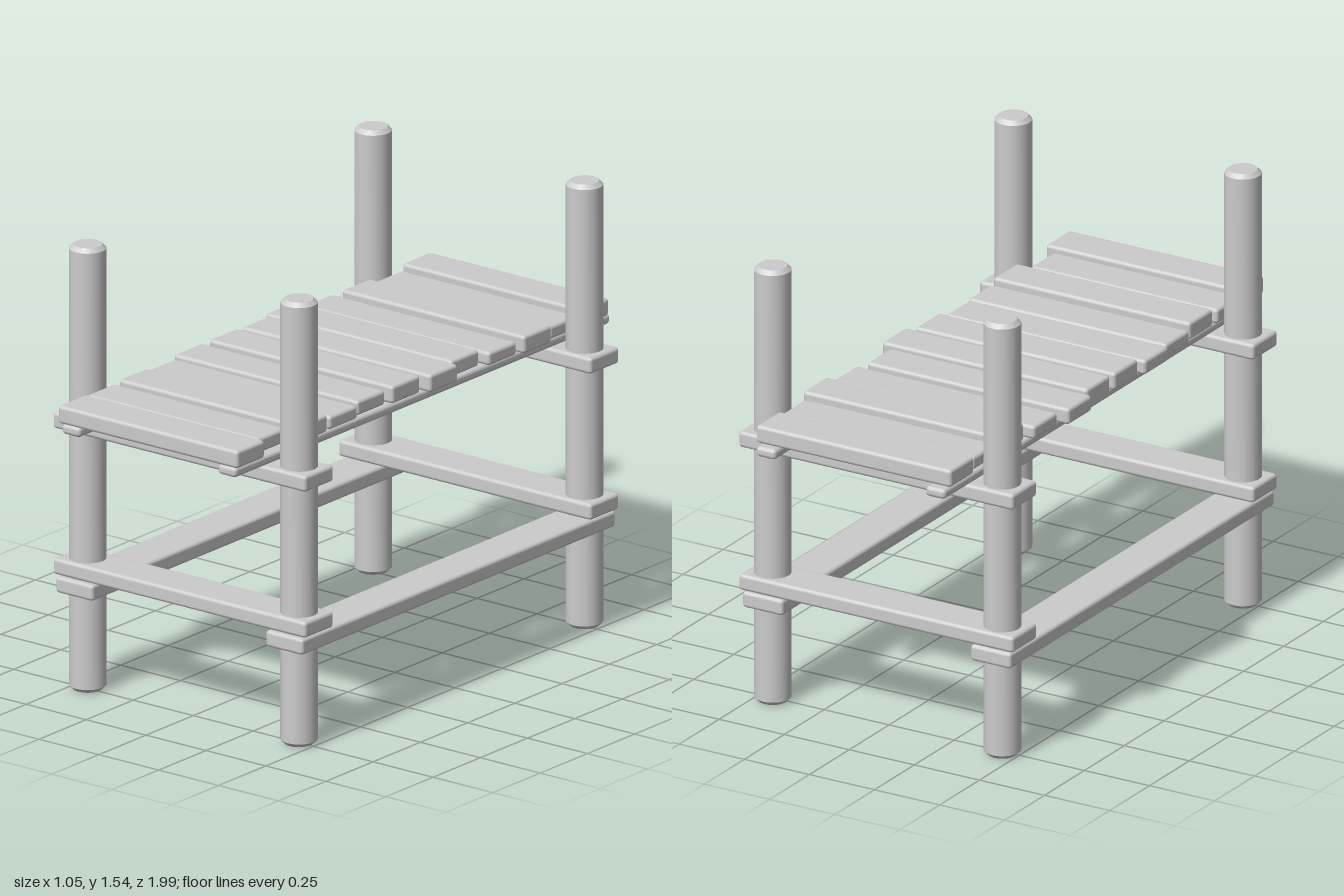
import * as THREE from 'three';
import { toCreasedNormals } from 'three/addons/utils/BufferGeometryUtils.js';
import { RoundedBoxGeometry } from 'three/addons/geometries/RoundedBoxGeometry.js';

const material = new THREE.MeshStandardMaterial({ color: 0xcccccc });

// Board with softened edges, given by its extents on each axis
function board(name, [x0, x1], [y0, y1], [z0, z1], radius = 0.012) {
  const geometry = new RoundedBoxGeometry(x1 - x0, y1 - y0, z1 - z0, 2, radius);
  const mesh = new THREE.Mesh(geometry, material);
  mesh.position.set((x0 + x1) / 2, (y0 + y1) / 2, (z0 + z1) / 2);
  mesh.name = name;
  return mesh;
}

// Round post with chamfered ends
function postGeometry(radius, height, bevel) {
  const profile = [
    [0, 0], [radius - bevel, 0], [radius, bevel],
    [radius, height - bevel], [radius - bevel, height], [0, height],
  ].map(([x, y]) => new THREE.Vector2(x, y));
  return toCreasedNormals(new THREE.LatheGeometry(profile, 32), 0.5);
}

export function createModel() {
  const model = new THREE.Group();
  model.name = 'woodenWalkway';

  // Four posts, with a lower and an upper cross beam at each end
  const post = postGeometry(0.062, 1.54, 0.014);
  for (const [end, z] of [['front', 0.747], ['back', -0.763]]) {
    for (const [side, x] of [['Left', 0.439], ['Right', -0.443]]) {
      const mesh = new THREE.Mesh(post, material);
      mesh.position.set(x, 0, z);
      mesh.name = end + side + 'Post';
      model.add(mesh);
    }
    const depth = [z - 0.077, z + 0.077];
    model.add(board(end + 'LowerBeam', [-0.53, 0.525], [0.397, 0.453], depth));
    model.add(board(end + 'UpperBeam', [-0.53, 0.525], [0.903, 0.959], depth));
  }

  // Long side rails and the deck stringers
  for (const [side, x, sx] of [['left', 0.436, 0.323], ['right', -0.44, -0.328]]) {
    model.add(board(side + 'SideRail', [x - 0.078, x + 0.078], [0.336, 0.392], [-0.835, 0.825]));
    model.add(board(side + 'Stringer', [sx - 0.038, sx + 0.038], [0.961, 0.997], [-1, 0.985], 0.014));
  }

  // Deck planks from back to front: left edge x, right edge x, top height
  const planks = [
    [-0.375, 0.375, 1.06], [-0.36, 0.375, 1.045], [-0.365, 0.397, 1.06],
    [-0.392, 0.381, 1.045], [-0.423, 0.354, 1.055], [-0.392, 0.397, 1.06],
    [-0.397, 0.37, 1.06], [-0.413, 0.354, 1.05], [-0.392, 0.37, 1.045],
    [-0.381, 0.375, 1.06], [-0.386, 0.333, 1.05], [-0.375, 0.375, 1.06],
  ];
  const deck = new THREE.Group();
  deck.name = 'deck';
  planks.forEach(([x0, x1, top], i) => {
    const z = -0.902 + i * 0.1655;
    deck.add(board('plank' + (i + 1), [x0, x1], [0.998, top], [z - 0.074, z + 0.074]));
  });
  model.add(deck);

  return model;
}
